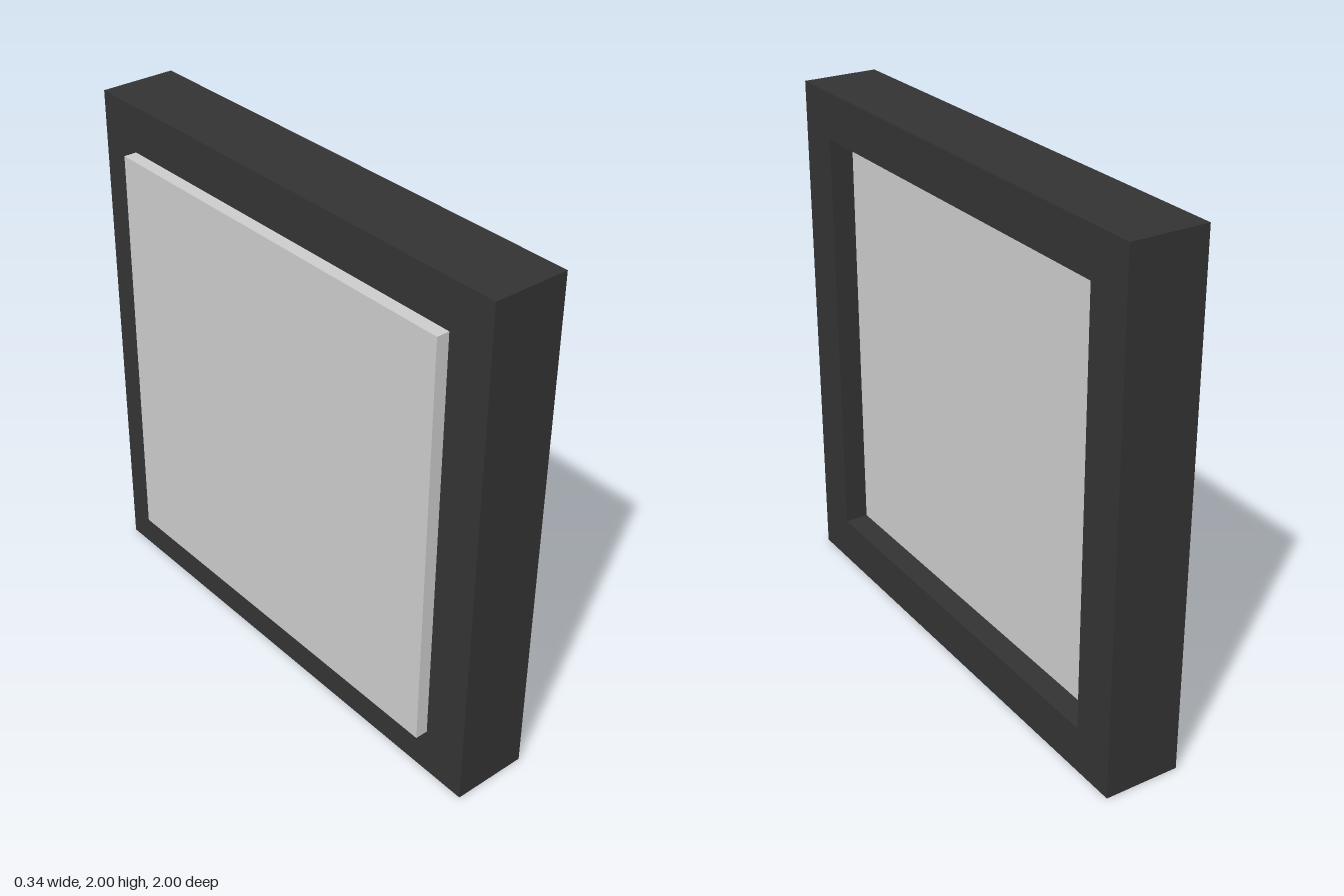
import * as THREE from 'three';

// Square path in the z/y plane, centred on the origin
function square(target, half) {
  target.moveTo(-half, -half);
  target.lineTo(half, -half);
  target.lineTo(half, half);
  target.lineTo(-half, half);
  target.closePath();
  return target;
}

export function createModel() {
  const group = new THREE.Group();
  group.name = 'framedPanel';

  const xBack = -0.172, xFrameBack = -0.124, xFront = 0.172, xPanelFront = 0.08;

  // Dark square frame with a square opening, extruded along x
  const outline = square(new THREE.Shape(), 1);
  outline.holes.push(square(new THREE.Path(), 0.821));
  const frameGeometry = new THREE.ExtrudeGeometry(outline, {
    depth: xFront - xFrameBack,
    bevelEnabled: false,
  });
  frameGeometry.rotateY(Math.PI / 2);
  const frame = new THREE.Mesh(frameGeometry, new THREE.MeshStandardMaterial({ color: 0x333333 }));
  frame.name = 'frame';
  frame.position.set(xFrameBack, 1, 0);
  group.add(frame);

  // Panel: recessed on the +x side, standing proud on the -x side
  const panel = new THREE.Mesh(
    new THREE.BoxGeometry(xPanelFront - xBack, 1.638, 1.638),
    new THREE.MeshStandardMaterial({ color: 0xcccccc }),
  );
  panel.name = 'panel';
  panel.position.set((xPanelFront + xBack) / 2, 1, 0);
  group.add(panel);

  return group;
}
